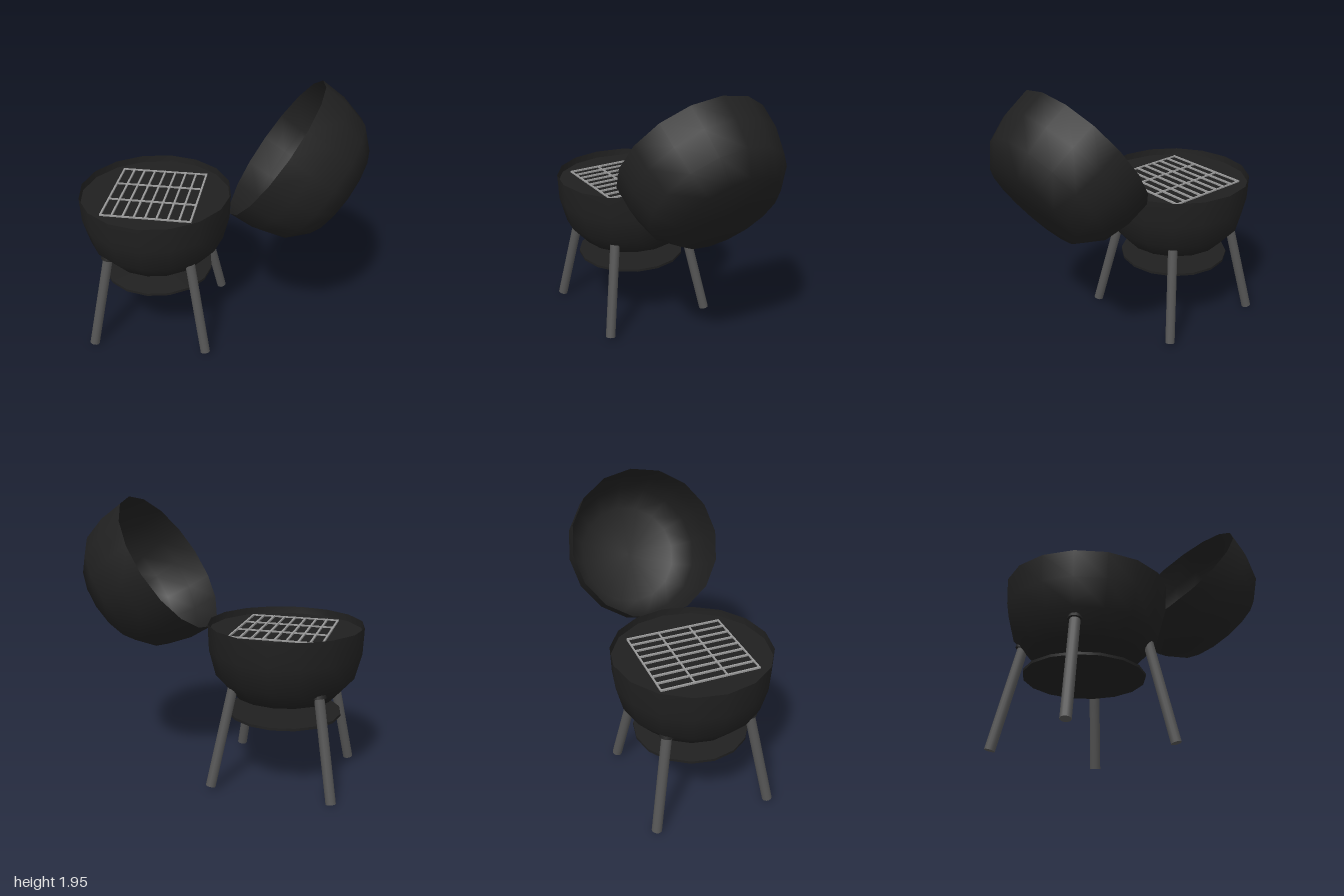
import * as THREE from 'three';

const mat = (name, color) => {
  const m = new THREE.MeshStandardMaterial({ color, side: THREE.DoubleSide });
  m.name = name;
  return m;
};

export function createModel() {
  const black = mat('blackEnamel', 0x202020);
  const legGrey = mat('legGrey', 0x545454);
  const steel = mat('grateSteel', 0x999999);

  const model = new THREE.Group();
  model.name = 'kettleGrill';
  const add = (name, geometry, material, parent = model) => {
    const mesh = new THREE.Mesh(geometry, material);
    mesh.name = name;
    parent.add(mesh);
    return mesh;
  };
  const lathe = (pts) => new THREE.LatheGeometry(pts.map(([x, y]) => new THREE.Vector2(x, y)), 16);

  // Half shell shared by bowl and lid, rim at y = 0
  const shell = lathe([[0, -0.5], [0.362, -0.497], [0.485, -0.36], [0.532, -0.18], [0.54, 0]]);
  const cx = -0.46;

  add('bowl', shell, black).position.set(cx, 1.117, 0);

  // Lid, tipped open to the side
  const lid = add('lid', shell, black);
  lid.position.set(0.38, 1.505, 0);
  lid.rotation.z = THREE.MathUtils.degToRad(56);

  // Dark bed under the grate
  const bed = add('coalBed', new THREE.CircleGeometry(0.534, 16), black);
  bed.rotation.x = -Math.PI / 2;
  bed.position.set(cx, 1.068, 0);

  // Grate of long bars and cross bars
  const grate = new THREE.Group();
  grate.name = 'grate';
  grate.position.set(cx, 1.08, -0.003);
  model.add(grate);
  for (let i = -4; i <= 4; i++) {
    add('grateBar', new THREE.BoxGeometry(0.012, 0.012, 0.685), steel, grate).position.x = i * 0.078;
  }
  for (let i = 0; i < 4; i++) {
    add('grateCrossBar', new THREE.BoxGeometry(0.636, 0.01, 0.01), steel, grate).position.z = -0.3375 + i * 0.225;
  }

  // Ash tray with a shallow conical underside
  add('ashTray', lathe([[0, 0.4], [0.32, 0.468], [0.4, 0.477]]), black).position.x = cx;
  add('ashTrayRim', new THREE.CylinderGeometry(0.4, 0.4, 0.018, 16), black).position.set(cx, 0.486, 0);

  // Splayed legs; the right-hand pair end in a dark collar
  const up = new THREE.Vector3(0, 1, 0);
  for (const sx of [-1, 1]) {
    for (const sz of [-1, 1]) {
      const foot = new THREE.Vector3(cx + sx * 0.415, sx < 0 ? 0.012 : 0.03, sz * 0.415);
      const top = new THREE.Vector3(cx + sx * 0.295, 0.705, sz * 0.295);
      const dir = top.clone().sub(foot);
      const leg = add('leg', new THREE.CylinderGeometry(0.035, 0.035, dir.length(), 12), legGrey);
      leg.position.copy(foot).add(top).multiplyScalar(0.5);
      leg.quaternion.setFromUnitVectors(up, dir.clone().normalize());
      if (sx < 0) {
        const collar = add('legCollar', new THREE.CylinderGeometry(0.044, 0.05, 0.045, 12), black);
        collar.position.copy(top).addScaledVector(dir.normalize(), 0.012);
        collar.quaternion.copy(leg.quaternion);
      }
    }
  }
  return model;
}
